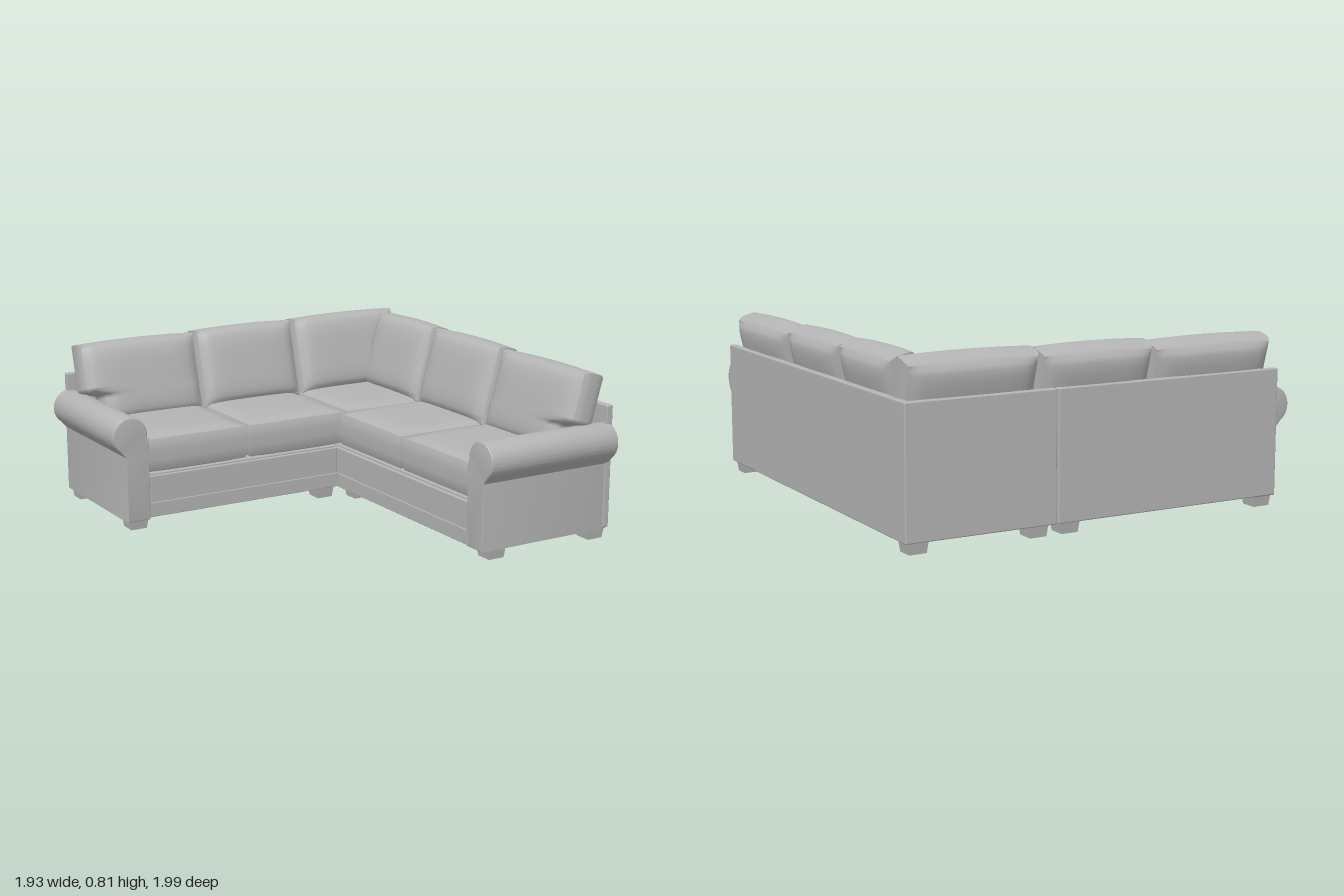
import * as THREE from 'three';
import { toCreasedNormals } from 'three/addons/utils/BufferGeometryUtils.js';
import { RoundedBoxGeometry } from 'three/addons/geometries/RoundedBoxGeometry.js';

const fabric = new THREE.MeshStandardMaterial({ color: 0xb4b4b4 });
fabric.name = 'grey fabric';

export function createModel() {
  const sofa = new THREE.Group();
  sofa.name = 'cornerSofa';

  const add = (name, geometry) => {
    const mesh = new THREE.Mesh(geometry, fabric);
    mesh.name = name;
    sofa.add(mesh);
    return mesh;
  };

  // Box given by its two extreme corners, with slightly softened edges
  const block = (name, x0, x1, y0, y1, z0, z1, r = 0.006) => {
    const g = new RoundedBoxGeometry(x1 - x0, y1 - y0, z1 - z0, 2, r);
    g.translate((x0 + x1) / 2, (y0 + y1) / 2, (z0 + z1) / 2);
    return add(name, g);
  };

  // Stuffed cushion in the xy plane, facing +z, thinner at its seams.
  // notch pulls one lower side in (-1 left, 1 right) to clear an arm.
  const pillow = (width, height, edge, centre, notch = 0) => {
    const g = new THREE.BoxGeometry(2, 2, 2, 20, 20, 6);
    const p = g.attributes.position;
    for (let i = 0; i < p.count; i++) {
      const u = p.getX(i), v = p.getY(i), w = p.getZ(i);
      const crown = (1 - u ** 4) * (1 - v ** 4);
      const inset = 0.012 * w ** 4;
      const bow = 0.008 * (1 - u * u);
      let left = -width / 2, right = width / 2;
      if (notch && v < -0.25) {
        if (notch < 0) left += 0.09;
        else right -= 0.09;
      }
      left += inset;
      right -= inset;
      p.setXYZ(i,
        left + (right - left) * (u + 1) / 2,
        v * (height / 2 - inset + (v > 0 ? bow : 0)),
        w * (edge + (centre - edge) * Math.sqrt(crown)));
    }
    g.computeVertexNormals();
    return g;
  };

  // Low frame: deck raised above the rails so the underside is recessed
  block('backRunDeck', -0.82, 0.245, 0.07, 0.26, -0.98, -0.31);
  block('sideRunDeck', 0.265, 0.95, 0.07, 0.26, -0.98, 0.85);
  block('backRunFrontRail', -0.8, 0.25, 0.05, 0.25, -0.34, -0.3);
  block('backRunHem', -0.8, 0.25, 0.05, 0.12, -0.31, -0.295, 0.003);
  block('sideRunFrontRail', 0.25, 0.29, 0.05, 0.25, -0.98, 0.83);
  block('sideRunHem', 0.245, 0.26, 0.05, 0.12, -0.29, 0.83, 0.003);
  block('backRunInnerEnd', 0.215, 0.248, 0.05, 0.25, -0.98, -0.3);

  // Tall outer backs, with a seam where the two runs meet
  block('backRunBackPanel', -0.9, 0.247, 0.05, 0.63, -1, -0.965);
  block('sideRunEndPanel', 0.255, 0.965, 0.05, 0.63, -1, -0.965);
  block('sideRunBackPanel', 0.93, 0.965, 0.05, 0.63, -1, 0.93);

  // Rolled arms: a flat panel topped by an overhanging roll
  const armShape = new THREE.Shape();
  armShape.moveTo(0, 0.05);
  armShape.lineTo(0, 0.44);
  armShape.absarc(-0.09, 0.46, 0.082, -0.25, Math.PI * 1.3, false);
  armShape.lineTo(-0.108, 0.36);
  armShape.lineTo(-0.108, 0.05);
  armShape.closePath();
  const armGeometry = length => {
    const g = new THREE.ExtrudeGeometry(armShape, {
      depth: length - 0.016, curveSegments: 28, bevelEnabled: true,
      bevelThickness: 0.008, bevelSize: 0.006, bevelOffset: -0.001, bevelSegments: 3,
    });
    g.translate(0, 0, 0.008);
    return toCreasedNormals(g, 0.6);
  };
  add('rightArm', armGeometry(0.71)).position.set(-0.793, 0, -0.99);
  const leftArm = add('leftArm', armGeometry(0.71));
  leftArm.rotation.y = Math.PI / 2;
  leftArm.position.set(0.245, 0, 0.813);

  // Seat cushions: [x0, x1, z0, z1]
  const seats = [
    [-0.79, -0.253, -0.92, -0.3],
    [-0.247, 0.3, -0.92, -0.3],
    [0.31, 0.92, -0.92, -0.3],
    [0.255, 0.9, -0.29, 0.255],
    [0.255, 0.9, 0.268, 0.808],
  ];
  for (const [x0, x1, z0, z1] of seats) {
    const g = pillow(x1 - x0, z1 - z0, 0.078, 0.1);
    g.rotateX(-Math.PI / 2);
    add('seatCushion', g).position.set((x0 + x1) / 2, 0.345, (z0 + z1) / 2);
  }

  // Leaning back cushions: [start, end along the run, notch side, top height]
  const lean = -0.27;
  const backCushion = (a, b, notch, top) => {
    const g = pillow(b - a, 0.4, 0.056, 0.1, notch);
    g.rotateX(lean);
    g.translate((a + b) / 2, top - 0.21, 0);
    return add('backCushion', g);
  };
  for (const c of [[-0.88, -0.253, -1, 0.795], [-0.247, 0.31, 0, 0.805], [0.32, 0.94, 0, 0.81]]) {
    backCushion(...c).position.z = -0.865;
  }
  for (const c of [[-0.81, -0.298, 0, 0.81], [-0.29, 0.268, 0, 0.805], [0.275, 0.905, 1, 0.795]]) {
    const cushion = backCushion(...c);
    cushion.rotation.y = -Math.PI / 2;
    cushion.position.x = 0.825;
  }

  // Tapered square feet
  const footGeometry = new THREE.CylinderGeometry(0.069, 0.057, 0.07, 4);
  footGeometry.rotateY(Math.PI / 4);
  const foot = toCreasedNormals(footGeometry, 0.5);
  const feet = [
    [-0.84, -0.94], [-0.84, -0.345], [0.18, -0.94], [0.18, -0.345],
    [0.335, -0.94], [0.9, -0.94], [0.335, -0.245], [0.335, 0.875], [0.9, 0.875],
  ];
  for (const [x, z] of feet) add('foot', foot).position.set(x, 0.035, z);

  return sofa;
}
